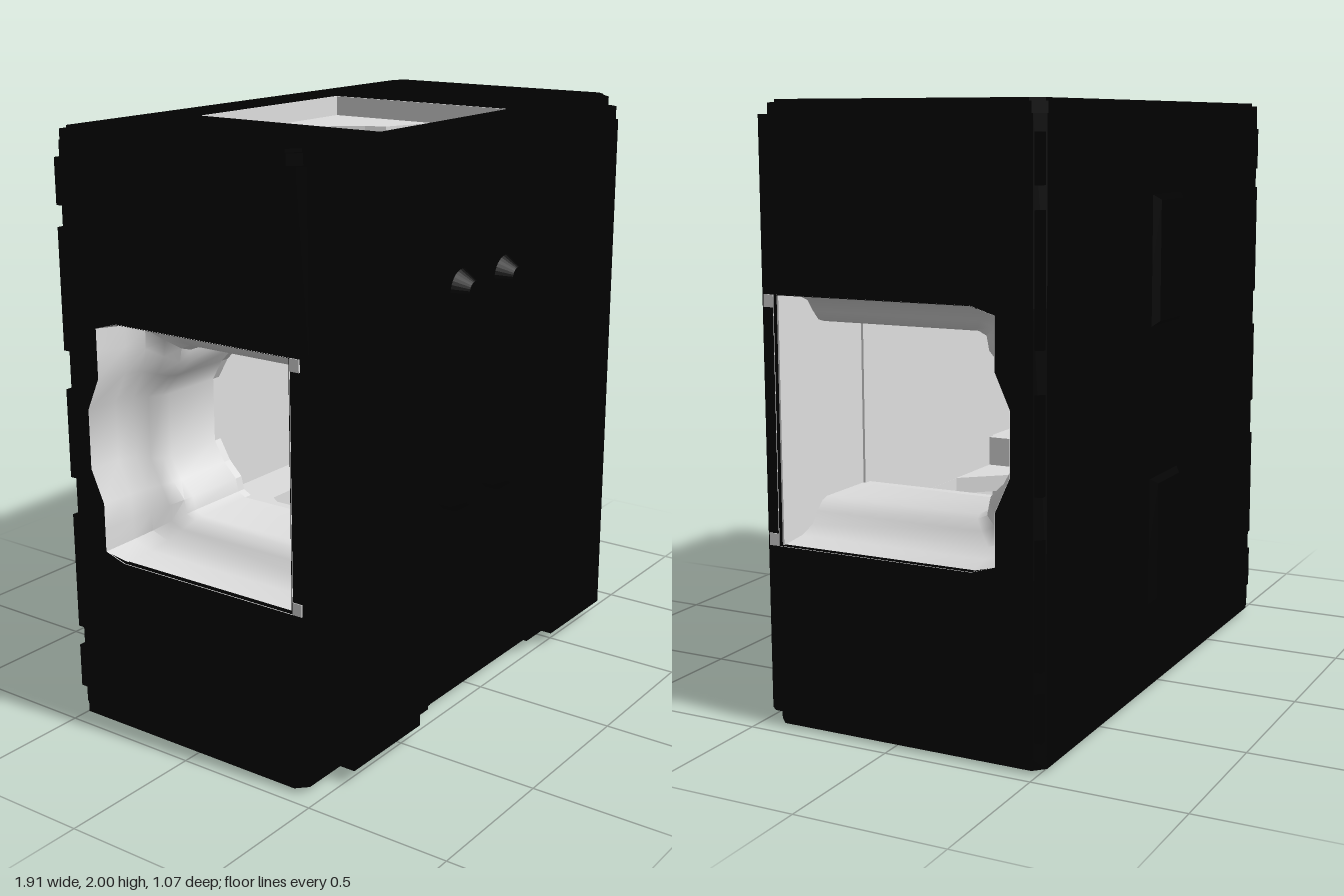
import * as THREE from 'three';
import { toCreasedNormals } from 'three/addons/utils/BufferGeometryUtils.js';

const black = new THREE.MeshStandardMaterial({ color: 0x010101 });
black.name = 'black shell';
const grey = new THREE.MeshStandardMaterial({ color: 0xdedede, side: THREE.DoubleSide });
grey.name = 'grey lining';

export function createModel() {
  const group = new THREE.Group();
  const add = (name, geo, mat) => {
    const mesh = new THREE.Mesh(geo, mat);
    mesh.name = name;
    group.add(mesh);
  };
  // Box given by its limits on each axis
  const box = (name, x0, x1, y0, y1, z0, z1, mat = black) =>
    add(name, new THREE.BoxGeometry(x1 - x0, y1 - y0, z1 - z0)
      .translate((x0 + x1) / 2, (y0 + y1) / 2, (z0 + z1) / 2), mat);
  const both = (name, x0, x1, ...rest) => {
    box(name, x0, x1, ...rest);
    box(name, -x1, -x0, ...rest);
  };
  const vectors = pts => pts.map(([a, b]) => new THREE.Vector2(a, -b));
  // Plan outline of [x, z] points raised from y0 to y1, with an optional hole
  const slab = (name, pts, y0, y1, hole, mat = black) => {
    const outline = vectors(pts);
    if (THREE.ShapeUtils.isClockWise(outline)) outline.reverse();
    const shape = new THREE.Shape(outline);
    if (hole) shape.holes.push(new THREE.Path(vectors(hole)));
    const geo = new THREE.ExtrudeGeometry(shape, { depth: y1 - y0, bevelEnabled: false });
    add(name, geo.rotateX(-Math.PI / 2).translate(0, y0, 0), mat);
  };
  const mirrorX = pts => [...pts, ...pts.map(([x, z]) => [-x, z]).reverse()];

  // Outer plan with chamfered corners, the shaft opening and its inner rim
  const plan = (w, z0, z1, c) => mirrorX([[w - c, z0], [w, z0 + c], [w, z1 - c], [w - c, z1]]);
  const frontEdge = [[0.95, 0.44], [0.93, 0.465], [0.33, 0.465], [0.33, 0.44]];
  const shell = mirrorX([[0.92, -0.515], [0.95, -0.485], ...frontEdge]);
  const opening = mirrorX([[0.47, -0.47], [0.47, 0.39]]);
  const rim = mirrorX([[0.18, -0.28], [0.25, -0.18], [0.28, -0.11], [0.4, -0.06], [0.4, 0.13], [0.17, 0.388]]);

  // Shell: lower and upper blocks, front and back walls beside the tunnel
  slab('lowerShell', shell, 0.05, 0.6, opening);
  slab('upperShell', shell, 1.4, 1.95, opening);
  slab('frontWall', mirrorX([[0.95, 0.405], ...frontEdge]), 0.6, 1.4);
  slab('backWall', mirrorX([[0.92, -0.515], [0.95, -0.485], [0.95, -0.41], [0.47, -0.41], [0.47, -0.47]]), 0.6, 1.4);
  slab('topPlate', plan(0.95, -0.515, 0.44, 0.035), 1.95, 1.985, opening);
  slab('topPlateBevel', plan(0.935, -0.5, 0.425, 0.035), 1.985, 1.995, opening);
  slab('bottomPlate', plan(0.95, -0.515, 0.44, 0.035), 0.012, 0.05, opening);
  both('foot', 0.68, 0.86, 0, 0.012, 0.2, 0.4);

  // Side tunnel cross-sections as [z, y], stepping inwards from the mouth
  const mirrorY = pts => [...pts, ...pts.map(([z, y]) => [z, 2 - y]).reverse()];
  const outer = mirrorY([[0.41, 1.4], [-0.28, 1.4], [-0.36, 1.375], [-0.36, 1.3], [-0.36, 1.21], [-0.41, 1.1]]);
  const inner = mirrorY([[0.41, 1.29], [-0.17, 1.29], [-0.2, 1.275], [-0.21, 1.23], [-0.26, 1.18], [-0.3, 1.11]]);
  const blend = t => outer.map(([z, y], i) => [z + (inner[i][0] - z) * t, y + (inner[i][1] - y) * t]);
  const sections = [[0.953, 0], [0.84, 0.1], [0.78, 0.3], [0.75, 0.65], [0.72, 0.92], [0.69, 1], [0.47, 1]];
  for (const s of [1, -1]) {
    const pos = [], idx = [], n = outer.length;
    for (const [x, t] of sections) for (const [z, y] of blend(t)) pos.push(s * x, y, z);
    for (let r = 0; r < sections.length - 1; r++) for (let i = 0; i < n; i++) {
      const a = r * n + i, b = r * n + (i + 1) % n, c = a + n, d = b + n;
      if (s > 0) idx.push(a, b, c, b, d, c);
      else idx.push(a, c, b, b, c, d);
    }
    const geo = new THREE.BufferGeometry();
    geo.setAttribute('position', new THREE.Float32BufferAttribute(pos, 3));
    geo.setIndex(idx);
    add('sideTunnel', toCreasedNormals(geo, 0.75), grey);

    // Black cheek around the tunnel mouth, and the grey inner collar
    const ring = (name, hole, x0, thick, mat) => {
      const shape = new THREE.Shape([[0.415, 0.6], [-0.415, 0.6], [-0.415, 1.4], [0.415, 1.4]]
        .map(([z, y]) => new THREE.Vector2(-z, y)));
      shape.holes.push(new THREE.Path(hole.map(([z, y]) =>
        new THREE.Vector2(-z, THREE.MathUtils.clamp(y, 0.602, 1.398)))));
      const g = new THREE.ExtrudeGeometry(shape, { depth: thick, bevelEnabled: false });
      add(name, g.rotateY(Math.PI / 2).translate(s > 0 ? x0 : -x0 - thick, 0, 0), mat);
    };
    ring('tunnelCheek', outer, 0.91, 0.04, black);
    ring('tunnelCollar', inner, 0.44, 0.03, grey);
  }
  // Pale front corners of the tunnel mouth
  for (const [y0, y1] of [[0.6, 0.64], [1.36, 1.4]]) both('mouthCorner', 0.948, 0.953, y0, y1, 0.41, 0.445, grey);

  // Grey lining of the vertical shaft
  box('shaftBackLining', -0.469, 0.469, 0.03, 1.97, -0.469, -0.462, grey);
  box('shaftFrontLining', -0.469, 0.469, 0.03, 1.97, 0.389, 0.397, grey);
  box('tunnelFrontLining', -0.94, 0.94, 0.602, 1.398, 0.399, 0.405, grey);
  for (const [y0, y1] of [[0.03, 0.6], [1.4, 1.97]]) both('shaftSideLining', 0.462, 0.469, y0, y1, -0.469, 0.39, grey);
  for (const [y0, y1] of [[0.1, 0.17], [0.54, 0.6], [1.4, 1.46], [1.83, 1.9]])
    slab('shaftRim', opening, y0, y1, rim, grey);
  // Buttresses on the back wall and dark blocks between the rims
  for (const [y0, y1] of [[0.17, 0.54], [1.46, 1.83]]) {
    box('backPanel', -0.17, 0.17, y0, y1, -0.46, -0.3, grey);
    both('backButtress', 0.21, 0.27, y0, y1, -0.46, -0.24, grey);
  }
  for (const x of [-0.2, 0, 0.2])
    for (const y of [0.36, 1.56]) box('darkBlock', x - 0.045, x + 0.045, y, y + 0.08, -0.3, -0.17);

  // Front cladding: wide raised pads, thinner strips and small panels
  both('frontPad', 0.44, 0.81, 0.05, 1.92, 0.46, 0.535);
  both('frontStrip', 0.33, 0.44, 0.05, 1.93, 0.46, 0.495);
  both('lowerStripPanel', 0.33, 0.43, 0.07, 0.51, 0.49, 0.503);
  both('upperStripPanel', 0.33, 0.43, 1.5, 1.92, 0.49, 0.503);
  both('upperPanel', 0.22, 0.33, 1.48, 1.63, 0.435, 0.45);
  both('middlePanel', 0.22, 0.33, 1.07, 1.35, 0.435, 0.448);
  both('ribHousing', 0.06, 0.2, 1.52, 1.72, 0.435, 0.448);

  // Two rounded vertical ribs on the front, narrowing outwards
  for (const x of [-0.135, 0.135]) {
    const r = 0.035, h = 0.345;
    const stadium = new THREE.Shape();
    stadium.absarc(0, h, r, 0, Math.PI, false);
    stadium.absarc(0, -h, r, Math.PI, Math.PI * 2, false);
    const geo = new THREE.ExtrudeGeometry(stadium, {
      depth: 0.04, bevelThickness: 0.05, bevelSize: 0.035, bevelSegments: 1, curveSegments: 8 });
    add('frontRib', geo.translate(x, 1.115, 0.44), black);
  }

  // Tapered bumps on the back, and tabs on the back corners
  for (const [y0, y1] of [[0.29, 0.76], [1.24, 1.71]]) {
    const geo = new THREE.BoxGeometry(0.3, y1 - y0, 0.04);
    const p = geo.attributes.position;
    for (let i = 0; i < p.count; i++)
      if (p.getZ(i) < 0) p.setXY(i, p.getX(i) * 0.65, p.getY(i) * 0.85);
    geo.computeVertexNormals();
    add('backBump', geo.translate(0, (y0 + y1) / 2, -0.515), black);
  }
  for (const [y0, y1] of [[0.1, 0.25], [0.32, 0.72], [0.85, 1.15], [1.28, 1.68], [1.75, 1.9]])
    both('cornerTab', 0.9, 0.947, y0, y1, -0.512, -0.45);

  return group;
}
